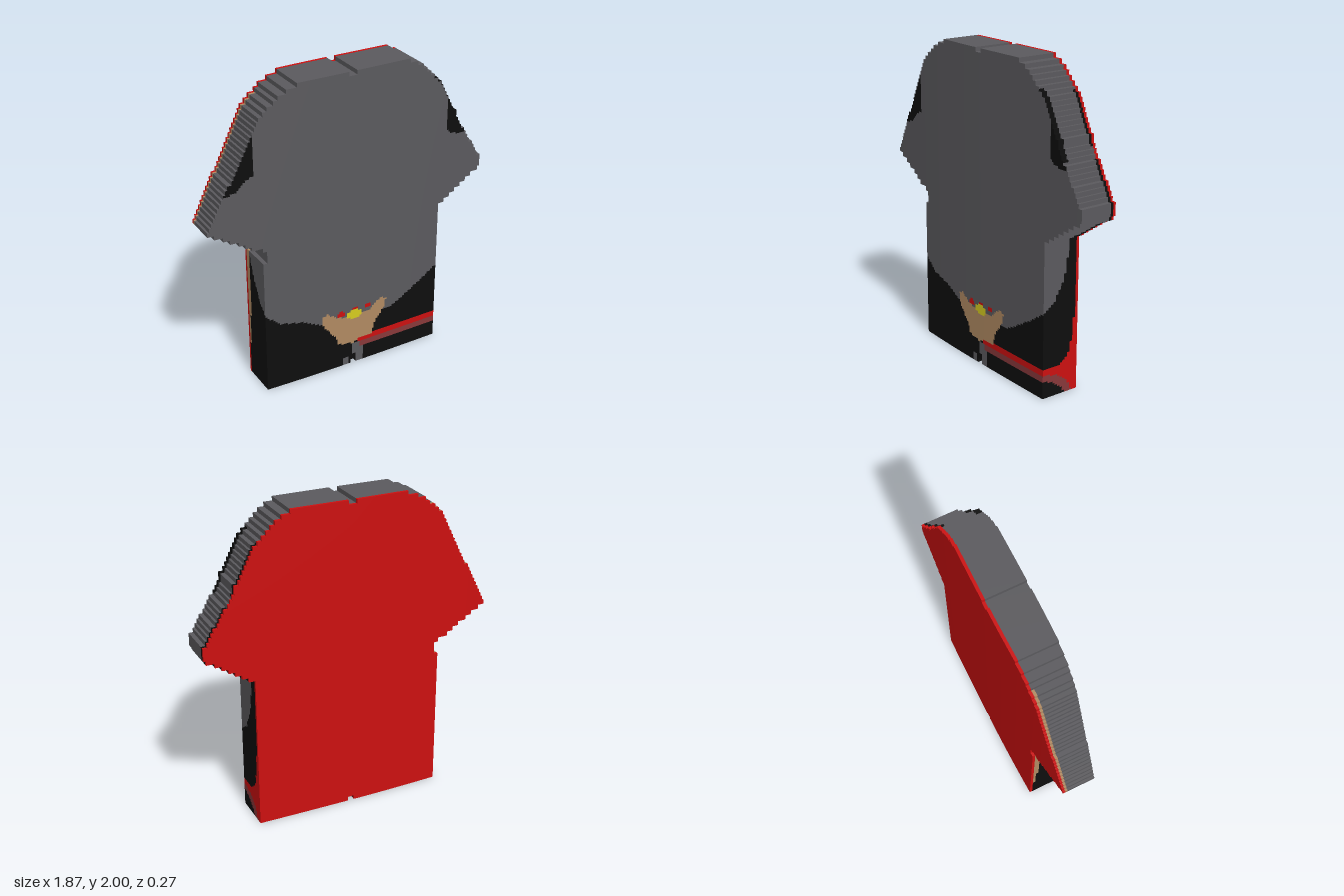
import * as THREE from 'three';
import { mergeVertices } from 'three/addons/utils/BufferGeometryUtils.js';

const CELL = 2 / 150;   // fine painting cell
const STEPS = 14;       // rim divisions through the thickness

// Linear interpolation through [input, output] points, sorted by input
function lerpAt(points, v) {
  if (v <= points[0][0]) return points[0][1];
  for (let i = 1; i < points.length; i++) {
    const [a, p] = points[i - 1], [b, q] = points[i];
    if (v <= b) return p + (q - p) * (v - a) / (b - a || 1);
  }
  return points[points.length - 1][1];
}

function inPolygon(poly, x, y) {
  let inside = false;
  for (let i = 0, j = poly.length - 1; i < poly.length; j = i++) {
    const [xi, yi] = poly[i], [xj, yj] = poly[j];
    if ((yi > y) !== (yj > y) && x < (xj - xi) * (y - yi) / (yj - yi) + xi) inside = !inside;
  }
  return inside;
}

const inEllipse = (x, y, cx, cy, rx, ry) => ((x - cx) / rx) ** 2 + ((y - cy) / ry) ** 2 < 1;

// Shirt outline: edge position by height
const rightEdge = [[0, 0.625], [0.975, 0.625], [0.99, 0.65], [1.02, 0.7], [1.08, 0.78], [1.14, 0.87],
  [1.165, 0.935], [1.235, 0.935], [1.3, 0.89], [1.4, 0.83], [1.48, 0.78], [1.6, 0.72], [1.7, 0.665],
  [1.76, 0.635], [1.82, 0.6], [1.92, 0.5], [1.97, 0.42], [2, 0.35]];
const leftEdge = [[0, -0.605], [0.9, -0.605], [0.905, -0.58], [0.99, -0.58], [1.04, -0.69], [1.11, -0.8],
  [1.165, -0.9], [1.18, -0.935], [1.21, -0.92], [1.35, -0.85], [1.48, -0.78], [1.63, -0.7],
  [1.76, -0.64], [1.81, -0.61], [1.87, -0.565], [1.95, -0.45], [2, -0.33]];

// Stepped silhouette, with small notches at the neck and hem
function filled(i, j) {
  if (j < 0 || j >= 150) return false;
  const y = (Math.floor(j / 2) * 2 + 1) * CELL, x = (i + 0.5) * CELL;
  if (Math.abs(x) < 0.03 && (j >= 148 || (j < 2 && x > -0.02))) return false;
  return i >= Math.round(lerpAt(leftEdge, y) / CELL) && i < Math.round(lerpAt(rightEdge, y) / CELL);
}

// Half thickness, thinner towards the sleeves
const half = (x) => 0.134 - (x < 0 ? 0.034 : 0.012) * (x / 0.94) ** 2;

// Painted areas of the front
const hemTop = [[-0.605, 0.54], [-0.5, 0.46], [-0.35, 0.42], [-0.2, 0.35], [0, 0.34], [0.29, 0.34],
  [0.35, 0.37], [0.45, 0.43], [0.55, 0.49], [0.625, 0.54]];
const shoulderLow = [[-0.83, 1.39], [-0.75, 1.42], [-0.7, 1.47], [-0.64, 1.5], [0.66, 1.5], [0.71, 1.45], [0.83, 1.43]];
const emblem = [[-0.215, 0.41], [-0.18, 0.425], [-0.11, 0.37], [0, 0.355], [0.12, 0.36], [0.2, 0.425],
  [0.25, 0.415], [0.24, 0.35], [0.17, 0.27], [0.145, 0.18], [0.06, 0.18], [0, 0.15], [-0.1, 0.17],
  [-0.12, 0.23], [-0.205, 0.34]];

function frontColour(x, y) {
  if (inEllipse(x, y, 0.015, 0.365, 0.056, 0.032)) return 'yellow';
  if ([[-0.08, 0.39], [0.02, 0.4], [0.115, 0.4]].some(([a, b]) => inEllipse(x, y, a, b, 0.024, 0.02))) return 'red';
  if (inPolygon(emblem, x, y)) return 'tan';
  if (x > 0.04 && y > 0.147 && y < 0.187) return 'red';
  if (x > 0.06 && y > 0.107 && y < 0.147) return 'darkRed';
  if (y < 0.06 && x > -0.065 && x < -0.025) return 'grey';
  if (y < 0.11 && x > 0.03 && x < 0.085) return 'grey';
  if (y > 0.07 && y < 0.15 && x > 0 && x < 0.055) return 'grey';
  if (y < lerpAt(hemTop, x)) return 'black';
  if ((x < -0.64 || x > 0.66) && y > lerpAt(shoulderLow, x)) return 'black';
  return 'grey';
}

// Curves on the rim: depth t (-1 back, 1 front) against height
const stripeTop = [[-0.94, 1], [-0.88, 0.7], [-0.76, 0.4], [-0.6, 0.29], [-0.4, 0.23], [0, 0.19], [1, 0.187]];
const darkTop = [[-0.7, 0], [-0.4, 0.08], [0, 0.12], [0.4, 0.137], [1, 0.147]];
const darkLow = [[-0.25, 0], [0, 0.05], [0.4, 0.09], [1, 0.107]];
const greyBack = [[0.54, 1], [0.56, 0.7], [0.6, 0.38], [0.7, -0.05], [0.8, -0.3], [1, -0.5], [1.17, -0.68],
  [1.5, -0.8], [1.7, -0.72], [2, -0.88]];

function rimColour(x, y, t, hem) {
  if (hem) {
    if (t < -0.92) return 'red';
    return Math.abs(x) < 0.09 && t > -0.4 ? 'grey' : 'black';
  }
  if (t < -0.9) return 'red';
  if (x > 0.4) {
    if (y < 1 && y < lerpAt(stripeTop, t)) {
      if (y < lerpAt(darkLow, t)) return 'black';
      return y < lerpAt(darkTop, t) ? 'darkRed' : 'red';
    }
    if (y > 1.48 && y < 1.85 && t > 0.78) return 'black';
    return t < lerpAt(greyBack, y) ? 'black' : 'grey';
  }
  if (y > 0.98) return t < (x < -0.5 ? -0.7 : -0.8) ? 'tan' : 'grey';
  if (t < lerpAt([[0.05, -0.9], [0.5, -0.6], [0.85, -0.5], [1, -0.75]], y)) return 'tan';
  return t < lerpAt([[0.54, 1], [0.62, 0.4], [0.75, -0.2], [0.9, -0.6]], y) ? 'black' : 'grey';
}

// Collects quads by colour and turns each colour into one mesh
function makePart(name, materials, smooth, fill) {
  const buckets = {};
  fill((colour, a, b, c, d) => {
    (buckets[colour] ??= []).push(...a, ...b, ...c, ...a, ...c, ...d);
  });
  const part = new THREE.Group();
  part.name = name;
  for (const [colour, points] of Object.entries(buckets)) {
    let geometry = new THREE.BufferGeometry();
    geometry.setAttribute('position', new THREE.Float32BufferAttribute(points, 3));
    if (smooth) geometry = mergeVertices(geometry);
    geometry.computeVertexNormals();
    const mesh = new THREE.Mesh(geometry, materials[colour]);
    mesh.name = `${name} ${colour}`;
    part.add(mesh);
  }
  return part;
}

export function createModel() {
  const colours = { grey: 0x5b5a5e, black: 0x0e0e0e, red: 0xcc1010, darkRed: 0x88383a, tan: 0xb08a62, yellow: 0xd6cc20 };
  const materials = {};
  for (const [name, color] of Object.entries(colours)) {
    materials[name] = new THREE.MeshStandardMaterial({ color });
    materials[name].name = name;
  }

  const eachCell = (visit) => {
    for (let j = 0; j < 150; j++) for (let i = -72; i < 72; i++) if (filled(i, j)) visit(i, j);
  };
  const at = (i, j, t) => [i * CELL, j * CELL, t * half(i * CELL)];

  const model = new THREE.Group();
  model.name = 'shirt';

  // Front and back panels
  model.add(makePart('frontPanel', materials, true, (quad) => eachCell((i, j) =>
    quad(frontColour((i + 0.5) * CELL, (j + 0.5) * CELL),
      at(i, j, 1), at(i + 1, j, 1), at(i + 1, j + 1, 1), at(i, j + 1, 1)))));
  model.add(makePart('backPanel', materials, true, (quad) => eachCell((i, j) =>
    quad('red', at(i + 1, j, -1), at(i, j, -1), at(i, j + 1, -1), at(i + 1, j + 1, -1)))));

  // Stepped rim: a wall wherever a cell has no neighbour
  const sides = [[1, 0, 1, 0, 1, 1], [-1, 0, 0, 1, 0, 0], [0, 1, 1, 1, 0, 1], [0, -1, 0, 0, 1, 0]];
  model.add(makePart('rim', materials, false, (quad) => eachCell((i, j) => {
    for (const [di, dj, pi, pj, qi, qj] of sides) {
      if (filled(i + di, j + dj)) continue;
      for (let k = 0; k < STEPS; k++) {
        const front = 1 - 2 * k / STEPS, back = 1 - 2 * (k + 1) / STEPS;
        quad(rimColour((i + 0.5) * CELL, (j + 0.5) * CELL, (front + back) / 2, dj < 0 && j < 4),
          at(i + pi, j + pj, front), at(i + pi, j + pj, back), at(i + qi, j + qj, back), at(i + qi, j + qj, front));
      }
    }
  })));
  return model;
}
